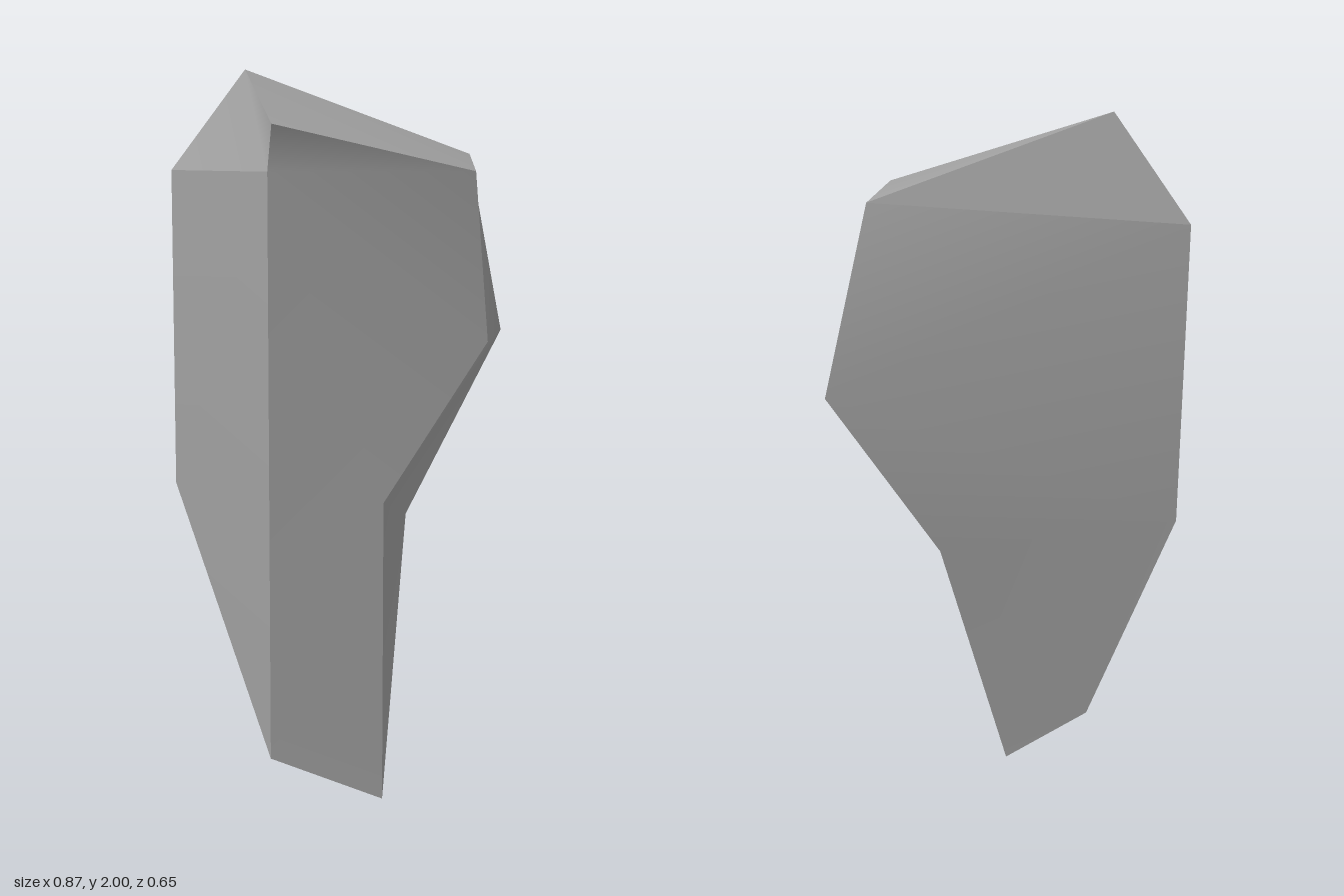
import * as THREE from 'three';

// Corner points of the standing stone shard
const P = {
  // front outline
  f1: [-0.09, 1.855, 0.325], f2: [0.4, 1.735, 0.097], f3: [0.435, 1.29, 0.08], f4: [0.18, 0.87, 0.207],
  f5: [0.18, 0.05, 0.207], f6: [-0.11, 0.172, 0.29], f7: [-0.11, 1.735, 0.29],
  // back outline
  b1: [-0.225, 2, 0.062], b2: [0.347, 1.778, -0.182], b3: [0.425, 1.28, -0.325], b4: [0.18, 0.765, -0.16],
  b5: [0.028, 0, -0.05], b6: [-0.2, 0.172, 0.02],
  // thin left edge
  l1: [-0.438, 1.735, 0.045], l2: [-0.438, 0.87, 0.045],
};

// Each facet is smooth within itself and sharp against its neighbours.
// Polygons are listed counter-clockwise from outside and split as fans.
const FACETS = {
  frontFace: ['f1 f7 f2', 'f7 f3 f2', 'f7 f4 f3', 'f7 f6 f4', 'f6 f5 f4'],
  rightSide: ['f3 b3 b2 f2', 'f4 b4 b3 f3', 'f5 b5 b4 f4'],
  leftSide: ['l1 l2 f7', 'l2 f6 f7', 'l2 b6 f6'],
  leftShoulder: ['l1 f7 b1', 'f7 f1 b1'],
  topFace: ['b1 f1 f2 b2'],
  underside: ['f6 b6 b5 f5'],
  backShoulder: ['l1 b1 b2'],
  backFace: ['l1 b2 b3', 'l1 b3 l2', 'l2 b3 b4', 'l2 b4 b6', 'b6 b4 b5'],
};

function facetGeometry(polygons) {
  const names = [...new Set(polygons.join(' ').split(' '))];
  const index = [];
  for (const polygon of polygons) {
    const ids = polygon.split(' ').map((n) => names.indexOf(n));
    for (let i = 1; i < ids.length - 1; i++) index.push(ids[0], ids[i], ids[i + 1]);
  }
  const geometry = new THREE.BufferGeometry();
  geometry.setAttribute('position', new THREE.Float32BufferAttribute(names.flatMap((n) => P[n]), 3));
  geometry.setIndex(index);
  geometry.computeVertexNormals();
  return geometry;
}

export function createModel() {
  const stone = new THREE.MeshStandardMaterial({ color: 0xa3a3a3 });
  stone.name = 'grey stone';
  const group = new THREE.Group();
  group.name = 'stoneShard';
  for (const [name, polygons] of Object.entries(FACETS)) {
    const mesh = new THREE.Mesh(facetGeometry(polygons), stone);
    mesh.name = name;
    group.add(mesh);
  }
  return group;
}
